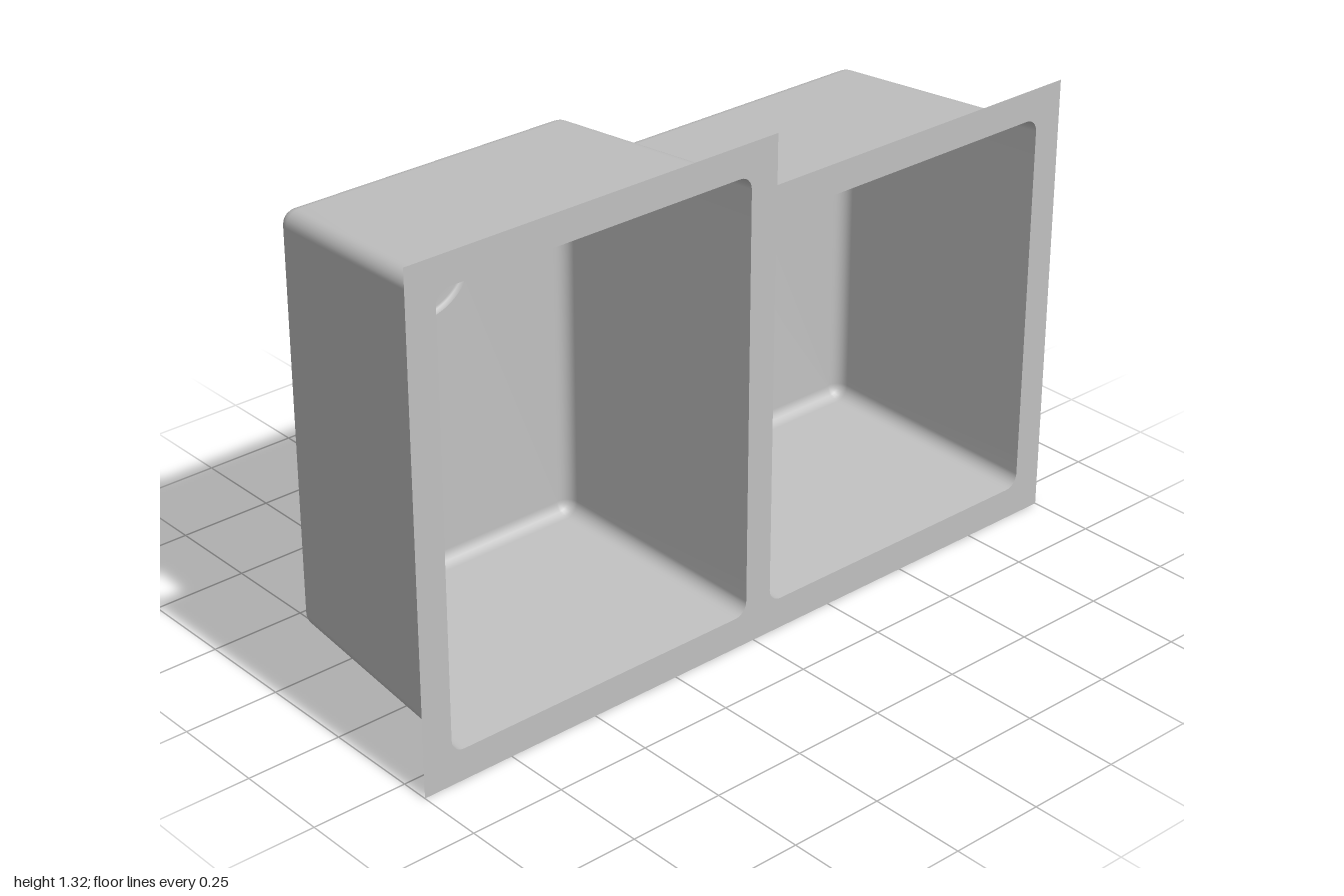
import * as THREE from 'three';

const ARC = 6, SIDE = 14, QUARTER = ARC + SIDE, COUNT = QUARTER * 4;
const FRONT = 0.325;

// Rounded rectangle, counter-clockwise, with evenly divided sides
function roundedRing(b, inset, r, z) {
  const x0 = b.x0 + inset + r, x1 = b.x1 - inset - r;
  const y0 = b.y0 + inset + r, y1 = b.y1 - inset - r;
  const centres = [[x1, y1], [x0, y1], [x0, y0], [x1, y0]];
  const at = (k, a) => new THREE.Vector3(
    centres[k % 4][0] + r * Math.cos(a), centres[k % 4][1] + r * Math.sin(a), z);
  const points = [];
  for (let k = 0; k < 4; k++) {
    for (let i = 0; i <= ARC; i++) points.push(at(k, (k + i / ARC) * Math.PI / 2));
    const from = points[points.length - 1], to = at(k + 1, (k + 1) * Math.PI / 2);
    for (let i = 1; i < SIDE; i++) points.push(from.clone().lerp(to, i / SIDE));
  }
  return points;
}

// Circle whose points line up with those of roundedRing
function drainRing(b, r, z) {
  return Array.from({ length: COUNT }, (_, i) => {
    const a = Math.PI / 4 + (i - ARC / 2) / QUARTER * Math.PI / 2;
    return new THREE.Vector3(b.dx + r * Math.cos(a), b.dy + r * Math.sin(a), z);
  });
}

// Smooth skin through a list of matching rings
function loft(rings) {
  const index = [];
  for (let i = 0; i < rings.length - 1; i++) {
    for (let j = 0; j < COUNT; j++) {
      const n = (j + 1) % COUNT;
      const a = i * COUNT + j, b = i * COUNT + n, c = a + COUNT, d = b + COUNT;
      index.push(a, b, c, b, d, c);
    }
  }
  const geometry = new THREE.BufferGeometry().setFromPoints(rings.flat());
  geometry.setIndex(index);
  geometry.computeVertexNormals();
  return geometry;
}

export function createModel() {
  const steel = new THREE.MeshStandardMaterial({ color: 0xc0c0c0, side: THREE.DoubleSide });
  steel.name = 'steel';
  const group = new THREE.Group();
  group.name = 'doubleSink';
  const add = (name, geometry, parent) => {
    const mesh = new THREE.Mesh(geometry, steel);
    mesh.name = name;
    parent.add(mesh);
  };

  const basins = [
    { name: 'largeBasin', x0: -0.92, x1: -0.025, y0: 0.083, y1: 1.235, dx: -0.475, dy: 0.932 },
    { name: 'smallBasin', x0: 0.052, x1: 0.92, y0: 0.083, y1: 1.108, dx: 0.485, dy: 0.806 },
  ];

  // Stepped flat flange with two openings
  const outline = new THREE.Shape([
    [-1, 0], [1, 0], [1, 1.187], [0.054, 1.187], [0.054, 1.315], [-1, 1.315],
  ].map(([x, y]) => new THREE.Vector2(x, y)));
  for (const b of basins) {
    outline.holes.push(new THREE.Path(
      roundedRing(b, 0, 0.035, 0).map((p) => new THREE.Vector2(p.x, p.y))));
  }
  const flange = new THREE.ShapeGeometry(outline);
  flange.translate(0, 0, FRONT);
  add('flange', flange, group);

  for (const b of basins) {
    const basin = new THREE.Group();
    basin.name = b.name;
    group.add(basin);

    // Tapered walls, rounded bottom edge, floor falling to the drain
    const rings = [roundedRing(b, 0, 0.035, FRONT)];
    for (let i = 0; i <= 6; i++) {
      const a = i / 6 * Math.PI / 2;
      const inward = 0.035 * (1 - Math.cos(a));
      rings.push(roundedRing(b, 0.035 + inward, 0.037 - inward, -0.262 - 0.035 * Math.sin(a)));
    }
    rings.push(drainRing(b, 0.15, -0.312));
    add('bowl', loft(rings), basin);

    // Recessed drain seat around the open hole
    add('drainSeat', loft([
      drainRing(b, 0.15, -0.312),
      drainRing(b, 0.149, -0.319),
      drainRing(b, 0.145, -0.323),
      drainRing(b, 0.139, -0.325),
      drainRing(b, 0.115, -0.325),
    ]), basin);
  }
  return group;
}
